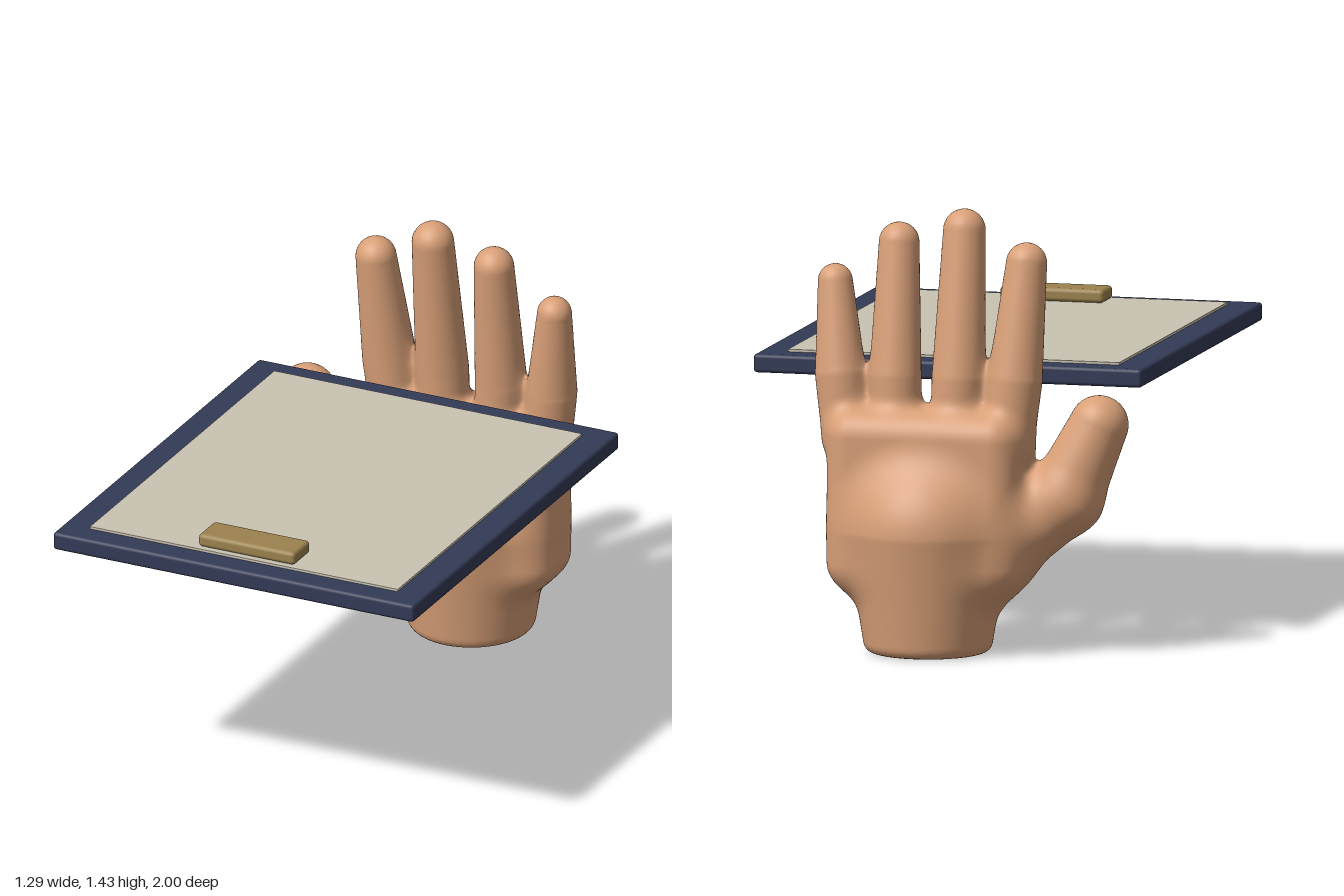
import * as THREE from 'three';
import { RoundedBoxGeometry } from 'three/addons/geometries/RoundedBoxGeometry.js';

const clamp = (v) => Math.min(1, Math.max(0, v));

// Smooth blend of two distances
function blend(a, b, k) {
  const h = Math.max(k - Math.abs(a - b), 0) / k;
  return Math.min(a, b) - h * h * k * 0.25;
}

// Tapered capsule from a to b, each [x, y, z, radius]
function limb(a, b) {
  const d = [b[0] - a[0], b[1] - a[1], b[2] - a[2]];
  const len2 = d[0] * d[0] + d[1] * d[1] + d[2] * d[2];
  return (x, y, z) => {
    const px = x - a[0], py = y - a[1], pz = z - a[2];
    const t = clamp((px * d[0] + py * d[1] + pz * d[2]) / len2);
    return Math.hypot(px - d[0] * t, py - d[1] * t, pz - d[2] * t) - a[3] - (b[3] - a[3]) * t;
  };
}

// Rounded block with centre c, half size h and edge radius r
function block(c, h, r) {
  return (x, y, z) => {
    const qx = Math.abs(x - c[0]) - h[0] + r;
    const qy = Math.abs(y - c[1]) - h[1] + r;
    const qz = Math.abs(z - c[2]) - h[2] + r;
    return Math.hypot(Math.max(qx, 0), Math.max(qy, 0), Math.max(qz, 0))
      + Math.min(Math.max(qx, qy, qz), 0) - r;
  };
}

// Hand: wrist, palm, thumb and four fingers blended into one skin
function handField() {
  const wrist = limb([0, -0.1, -0.735, 0.187], [0, 0.39, -0.735, 0.265]);
  const palm = block([0, 0.495, -0.735], [0.32, 0.295, 0.14], 0.09);
  const thumbBase = limb([-0.13, 0.28, -0.70, 0.14], [-0.44, 0.51, -0.675, 0.12]);
  const thumbTip = limb([-0.44, 0.51, -0.675, 0.12], [-0.545, 0.745, -0.65, 0.095]);
  // tip x, tip top, tip radius, base x, base radius
  const fingers = [
    [-0.31, 1.33, 0.066, -0.285, 0.088],
    [-0.10, 1.43, 0.068, -0.097, 0.086],
    [0.115, 1.38, 0.065, 0.113, 0.084],
    [0.322, 1.24, 0.056, 0.295, 0.082],
  ].map(([tx, top, tr, bx, br]) => {
    const knuckle = [bx, 0.89, -0.72, br];
    return [
      limb(knuckle, [tx, top - tr, -0.735 + 0.135 * (top - 0.86), tr]),
      limb([bx * 0.93, 0.69, -0.73, br - 0.005], knuckle),
    ];
  });
  return (x, y, z) => {
    let d = blend(wrist(x, y, z), palm(x, y, z), 0.09);
    d = blend(d, blend(thumbBase(x, y, z), thumbTip(x, y, z), 0.03), 0.08);
    for (const [upper, lower] of fingers) {
      d = blend(d, Math.min(upper(x, y, z), lower(x, y, z)), 0.045);
    }
    return -blend(-d, y, 0.035); // flat cut under the wrist
  };
}

// Skin a distance field: one vertex per crossed cell, one quad per crossed edge
function skinGeometry(field, min, max, step) {
  const n = min.map((v, i) => Math.ceil((max[i] - v) / step) + 1);
  const stride = [1, n[0], n[0] * n[1]];
  const values = new Float32Array(n[0] * n[1] * n[2]);
  const cell = new Int32Array(values.length).fill(-1);
  const each = (from, trim, fn) => {
    for (let k = from; k < n[2] - trim; k++)
      for (let j = from; j < n[1] - trim; j++)
        for (let i = from; i < n[0] - trim; i++) fn(i, j, k, i + j * stride[1] + k * stride[2]);
  };
  each(0, 0, (i, j, k, id) => {
    values[id] = field(min[0] + i * step, min[1] + j * step, min[2] + k * step);
  });

  const e = 0.002;
  const gradient = ([x, y, z]) => [
    field(x + e, y, z) - field(x - e, y, z),
    field(x, y + e, z) - field(x, y - e, z),
    field(x, y, z + e) - field(x, y, z - e),
  ].map((v) => v / (2 * e));

  const positions = [], normals = [], index = [];
  each(0, 1, (i, j, k, id) => {
    const sum = [0, 0, 0];
    let count = 0;
    for (let c = 0; c < 8; c++) {
      const o = [c & 1, (c >> 1) & 1, c >> 2];
      const v = values[id + o[0] + o[1] * stride[1] + o[2] * stride[2]];
      for (let a = 0; a < 3; a++) {
        if (o[a]) continue;
        const w = values[id + o[0] + o[1] * stride[1] + o[2] * stride[2] + stride[a]];
        if ((v < 0) === (w < 0)) continue;
        for (let b = 0; b < 3; b++) sum[b] += o[b] + (a === b ? v / (v - w) : 0);
        count++;
      }
    }
    if (!count) return;
    const p = [i, j, k].map((v, a) => min[a] + (v + sum[a] / count) * step);
    // settle the vertex onto the surface
    const g = gradient(p), d = field(...p), g2 = g[0] ** 2 + g[1] ** 2 + g[2] ** 2;
    const s = Math.max(-step / 2, Math.min(step / 2, d / Math.max(g2, 0.2)));
    const q = p.map((v, a) => v - g[a] * s);
    const normal = new THREE.Vector3(...gradient(q)).normalize();
    cell[id] = positions.length / 3;
    positions.push(...q);
    normals.push(normal.x, normal.y, normal.z);
  });
  each(1, 1, (i, j, k, id) => {
    for (let a = 0; a < 3; a++) {
      const inside = values[id] < 0;
      if (inside === (values[id + stride[a]] < 0)) continue;
      const u = stride[(a + 1) % 3], v = stride[(a + 2) % 3];
      const q = [cell[id - u - v], cell[id - v], cell[id], cell[id - u]];
      if (!inside) q.reverse();
      index.push(q[0], q[1], q[2], q[0], q[2], q[3]);
    }
  });

  const geometry = new THREE.BufferGeometry();
  geometry.setAttribute('position', new THREE.Float32BufferAttribute(positions, 3));
  geometry.setAttribute('normal', new THREE.Float32BufferAttribute(normals, 3));
  geometry.setIndex(index);
  return geometry;
}

function material(name, color) {
  const m = new THREE.MeshStandardMaterial({ color });
  m.name = name;
  return m;
}

export function createModel() {
  const model = new THREE.Group();
  model.name = 'handWithClipboard';
  const add = (name, geometry, mat, x = 0, y = 0, z = 0) => {
    const mesh = new THREE.Mesh(geometry, mat);
    mesh.name = name;
    mesh.position.set(x, y, z);
    model.add(mesh);
  };

  // Raised open hand
  add('hand', skinGeometry(handField(), [-0.7, -0.03, -1.04], [0.44, 1.47, -0.43], 0.0125),
    material('skin', 0xd9a078));

  // Floating board with its sheet and clip
  add('board', new RoundedBoxGeometry(1.29, 0.06, 1.5, 3, 0.012),
    material('navy', 0x333a55), 0, 0.875, 0.25);
  add('paper', new THREE.BoxGeometry(1.1, 0.009, 1.34),
    material('paper', 0xc9c3b1), 0, 0.9085, 0.25);
  add('clip', new RoundedBoxGeometry(0.345, 0.044, 0.12, 3, 0.014),
    material('brass', 0x9b824e), 0, 0.934, 0.845);

  return model;
}
